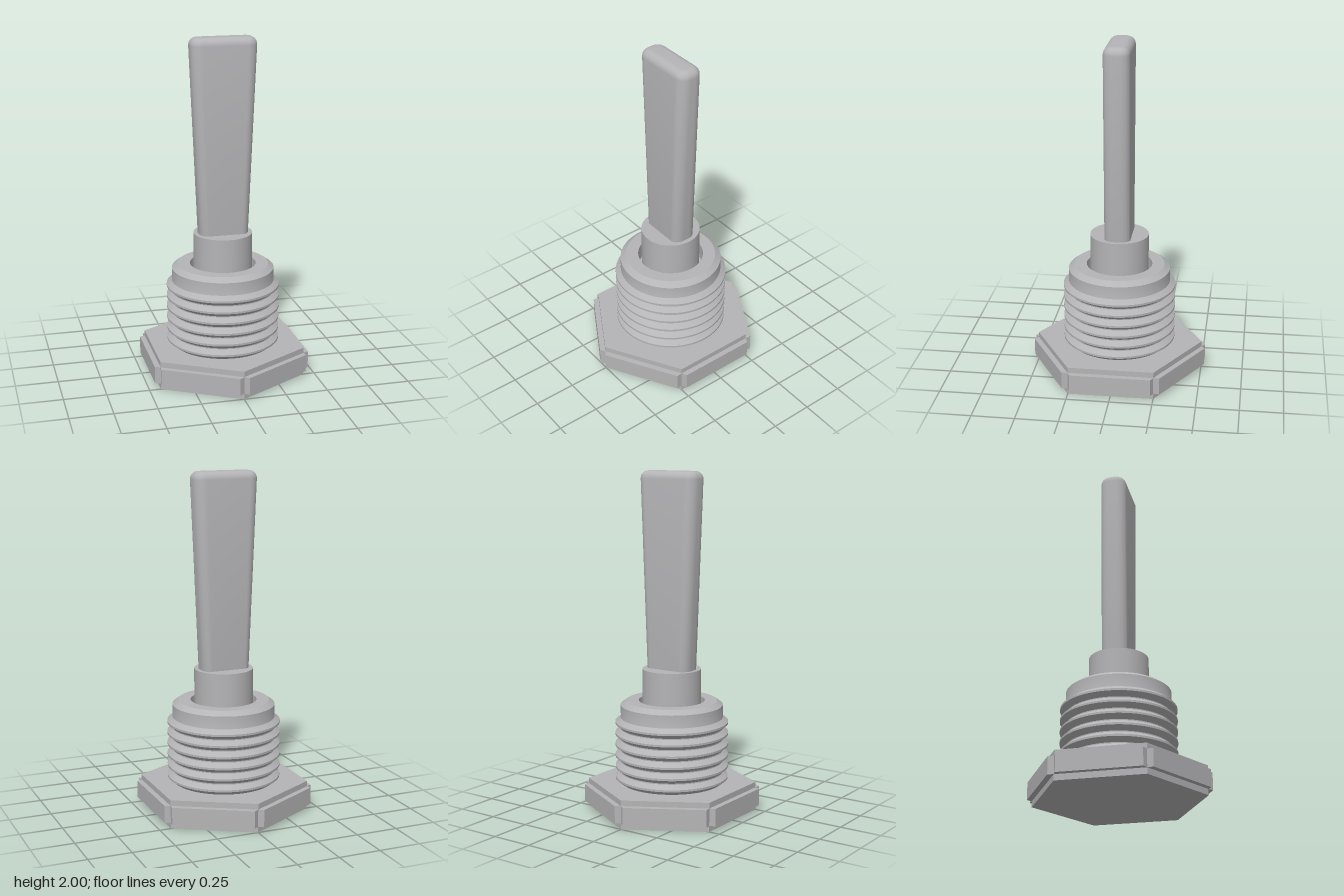
import * as THREE from 'three';
import { toCreasedNormals } from 'three/addons/utils/BufferGeometryUtils.js';

export function createModel() {
  const group = new THREE.Group();
  const metal = new THREE.MeshStandardMaterial({ color: 0xb4b4b6 });
  metal.name = 'satin grey metal';

  const add = (name, geometry, crease = 0.4) => {
    const mesh = new THREE.Mesh(toCreasedNormals(geometry, crease), metal);
    mesh.name = name;
    group.add(mesh);
    return mesh;
  };

  // Hexagonal base with corners on the z axis
  const base = new THREE.CylinderGeometry(0.5, 0.5, 0.17, 6);
  base.translate(0, 0.085, 0);
  add('hexBase', base);

  // Raised pad on each of the six flats, with mitred ends
  const padShape = new THREE.Shape([
    new THREE.Vector2(0.42, -0.245), new THREE.Vector2(0.433, -0.25),
    new THREE.Vector2(0.465, -0.236), new THREE.Vector2(0.465, 0.236),
    new THREE.Vector2(0.433, 0.25), new THREE.Vector2(0.42, 0.245),
  ]);
  for (let i = 0; i < 6; i++) {
    const pad = new THREE.ExtrudeGeometry(padShape, { depth: 0.102, bevelEnabled: false });
    pad.rotateX(-Math.PI / 2);
    pad.translate(0, 0.035, 0);
    pad.rotateY((i * Math.PI) / 3);
    add('basePad' + (i + 1), pad);
  }

  // Threaded bushing: ring ridges, smooth collar, chamfer and bore
  const profile = [[0, 0.16], [0.3, 0.16]];
  for (let i = 0; i < 6; i++) {
    const y = 0.2 + i * 0.066;
    profile.push([0.303, y - 0.03], [0.334, y - 0.006], [0.334, y + 0.006], [0.303, y + 0.03]);
  }
  profile.push([0.302, 0.565], [0.302, 0.635], [0.268, 0.66], [0.195, 0.66], [0.195, 0.56], [0, 0.56]);
  add('threadedBushing', new THREE.LatheGeometry(profile.map(([x, y]) => new THREE.Vector2(x, y)), 72));

  // Round stem standing in the bore
  const stem = new THREE.CylinderGeometry(0.173, 0.173, 0.3, 64);
  stem.translate(0, 0.7, 0);
  add('stem', stem);

  // Flat lever: rounded bar, filleted on top and widening upwards
  const w = 0.195, d = 0.076, r = 0.06;
  const section = new THREE.Shape();
  section.moveTo(-w + r, -d);
  section.lineTo(w - r, -d);
  section.absarc(w - r, -d + r, r, -Math.PI / 2, 0);
  section.absarc(w - r, d - r, r, 0, Math.PI / 2);
  section.absarc(-w + r, d - r, r, Math.PI / 2, Math.PI);
  section.absarc(-w + r, -d + r, r, Math.PI, Math.PI * 1.5);
  const fillet = 0.045, bottom = 0.74;
  const lever = new THREE.ExtrudeGeometry(section, {
    depth: 2 - bottom - 2 * fillet, curveSegments: 8,
    bevelThickness: fillet, bevelSize: fillet, bevelOffset: -fillet, bevelSegments: 6,
  });
  lever.rotateX(-Math.PI / 2);
  lever.translate(0, bottom + fillet, 0);
  const p = lever.attributes.position;
  for (let i = 0; i < p.count; i++) {
    const t = (p.getY(i) - 0.85) / 1.1;
    p.setX(i, p.getX(i) * THREE.MathUtils.lerp(0.75, 1, Math.min(t, 1)));
  }
  add('lever', lever, 0.6);

  return group;
}
